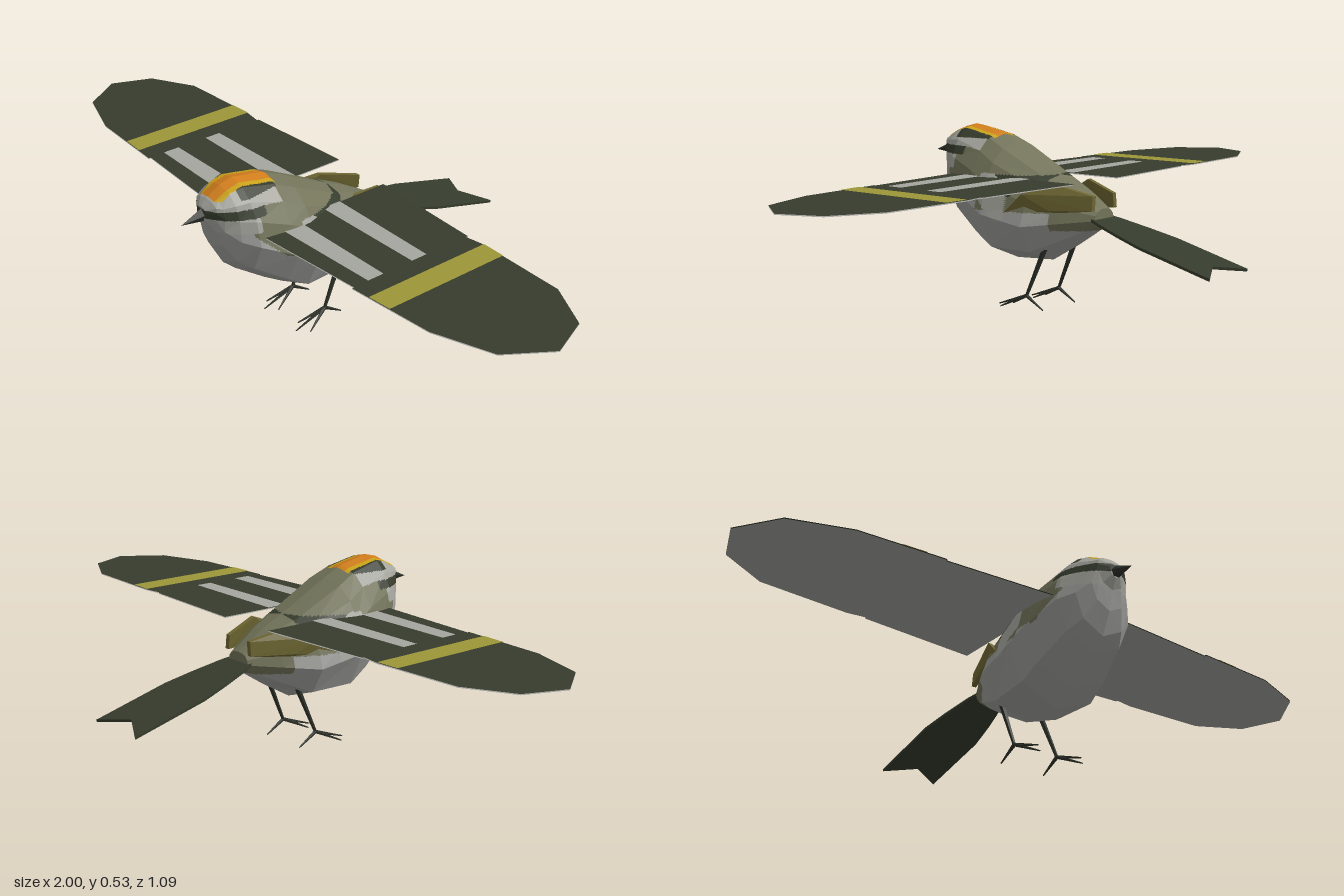
import * as THREE from 'three';
import { ConvexGeometry } from 'three/addons/geometries/ConvexGeometry.js';

const mat = (name, color) => {
  const m = new THREE.MeshStandardMaterial({ color, side: THREE.DoubleSide, flatShading: true });
  m.name = name;
  return m;
};
const V = (x, y, z) => new THREE.Vector3(x, y, z);

export function createModel() {
  const M = {
    dark: mat('dark green', 0x363c2d),
    olive: mat('olive back', 0x73745a),
    grey: mat('belly grey', 0x9f9f9c),
    pale: mat('pale grey', 0xa6a69f),
    yellow: mat('wing yellow', 0x9c9638),
    gold: mat('olive gold', 0x6e6632),
    crownYellow: mat('crown yellow', 0xcaa21a),
    orange: mat('crown orange', 0xd07d1c),
    black: mat('bill and legs', 0x2d3029),
  };
  const bird = new THREE.Group();
  bird.name = 'bird';
  const add = (name, geo, material, parent = bird) => {
    const mesh = new THREE.Mesh(geo, material);
    mesh.name = name;
    parent.add(mesh);
    return mesh;
  };

  // Plumage colour by position on the head
  const paintHead = (ax, y, z) => {
    if (z > 0.262 && y > 0.498) {
      if (ax < 0.03 && z < 0.455) return 'orange';
      if (ax < 0.046 && z < 0.455) return 'crownYellow';
      if (ax < 0.08 && z > 0.27 && z < 0.395) return 'dark';
    }
    if (z > 0.275 && y > 0.474 + Math.max(0, 0.335 - z) * -0.15) return 'pale';
    if (z > 0.335 && y > 0.45) return 'dark';
    if (z > 0.36 && y > 0.41) return 'pale';
    return z > 0.385 ? 'grey' : null;
  };
  // Plumage colour by position on the whole body, with folded-wing patches on the flank
  const paint = (x, y, z) => {
    const head = paintHead(Math.abs(x), y, z);
    if (head) return head;
    const patchTop = 0.405 - Math.max(0, 0.19 - z) * 1.15;
    const patchBottom = 0.27 + Math.max(0, z - 0.165) * 0.9;
    if (z > 0.135 && z < 0.237 && y > patchBottom && y < patchTop) return 'pale';
    const darkBottom = z > 0.135 ? patchTop : 0.34 + (0.135 - z) * 0.5;
    if (z > 0.04 && z < 0.19 && y > darkBottom && y < 0.402) return 'dark';
    const edge = z > 0.235 ? 0.325 + Math.max(0, z - 0.3) * 0.9 : z > 0 ? 0.3 : 0.25;
    return y > edge ? 'olive' : 'grey';
  };

  // Body and head: rings of [z, top, bottom, upper half width, lower half width]
  const sections = [
    [0.478, 0.48, 0.435, 0.02, 0.02],
    [0.46, 0.5, 0.405, 0.052, 0.045],
    [0.446, 0.508, 0.345, 0.066, 0.062],
    [0.415, 0.525, 0.28, 0.085, 0.095],
    [0.375, 0.535, 0.245, 0.098, 0.13],
    [0.275, 0.516, 0.175, 0.112, 0.163],
    [0.21, 0.487, 0.135, 0.13, 0.172],
    [0.07, 0.415, 0.143, 0.115, 0.155],
    [-0.03, 0.368, 0.2, 0.08, 0.1],
    [-0.12, 0.315, 0.258, 0.038, 0.045],
  ];
  const rings = sections.map(([z, top, bot, w1, w2]) => {
    const half = [[0, 1], [0.52 * w1, 0.96], [0.88 * w1, 0.85], [w1 * 0.55 + w2 * 0.45, 0.68],
      [w2, 0.43], [0.72 * w2, 0.14], [0, 0]];
    const ring = half.concat(half.slice(1, -1).reverse().map(([x, f]) => [-x, f]));
    return ring.map(([x, f]) => V(x, bot + f * (top - bot), z));
  });
  const buckets = {};
  const N = 14;
  // Split a facet into small flat cells so that plumage edges stay crisp
  const facet = (a, b, c) => {
    const at = (i, j) => a.clone().multiplyScalar(1 - (i + j) / N)
      .addScaledVector(b, i / N).addScaledVector(c, j / N);
    const put = (...p) => {
      const m = p[0].clone().add(p[1]).add(p[2]).divideScalar(3);
      const list = buckets[paint(m.x, m.y, m.z)] ??= [];
      p.forEach((q) => list.push(q.x, q.y, q.z));
    };
    for (let i = 0; i < N; i++) for (let j = 0; j < N - i; j++) {
      put(at(i, j), at(i + 1, j), at(i, j + 1));
      if (i + j < N - 1) put(at(i + 1, j), at(i + 1, j + 1), at(i, j + 1));
    }
  };
  const K = rings[0].length;
  const last = rings.length - 1;
  const centre = (ring) => ring.reduce((s, p) => s.add(p), V(0, 0, 0)).divideScalar(K);
  for (let j = 0; j < K; j++) {
    const k = (j + 1) % K;
    for (let i = 0; i < last; i++) {
      facet(rings[i][j], rings[i][k], rings[i + 1][j]);
      facet(rings[i][k], rings[i + 1][k], rings[i + 1][j]);
    }
    facet(centre(rings[0]), rings[0][k], rings[0][j]);
    facet(centre(rings[last]), rings[last][j], rings[last][k]);
  }
  const body = new THREE.Group();
  body.name = 'body';
  bird.add(body);
  for (const [key, list] of Object.entries(buckets)) {
    const geo = new THREE.BufferGeometry();
    geo.setAttribute('position', new THREE.Float32BufferAttribute(list, 3));
    geo.computeVertexNormals();
    add(M[key].name + ' plumage', geo, M[key], body);
  }

  // Bill
  add('bill', new ConvexGeometry([V(0, 0.48, 0.465), V(0.02, 0.46, 0.46), V(-0.02, 0.46, 0.46),
    V(0.012, 0.438, 0.465), V(-0.012, 0.438, 0.465), V(0, 0.444, 0.545)]), M.black);

  // Flat plate from [x, z] corners, facing up or down
  const plate = (pts, s, up) => {
    const geo = new THREE.ShapeGeometry(new THREE.Shape(
      pts.map(([x, z]) => new THREE.Vector2(s * x, up ? -z : z))));
    return geo.rotateX(up ? -Math.PI / 2 : Math.PI / 2);
  };
  const wingOutline = [[0.1, -0.09], [0.47, -0.07], [0.47, -0.063], [0.53, -0.072], [0.81, -0.06],
    [0.95, 0.015], [1, 0.14], [0.915, 0.265], [0.74, 0.325], [0.47, 0.342], [0.47, 0.335], [0.1, 0.36]];
  const bars = [
    ['yellow wing band', 'yellow', [[0.53, -0.072], [0.605, -0.069], [0.605, 0.333], [0.53, 0.338]]],
    ['rear wing bar', 'pale', [[0.1, 0.075], [0.47, 0.083], [0.47, 0.135], [0.1, 0.137]]],
    ['front wing bar', 'pale', [[0.1, 0.235], [0.47, 0.235], [0.47, 0.288], [0.1, 0.3]]],
  ];

  // Tapered straight limb
  const limb = (name, a, b, ra, rb, parent) => {
    const d = b.clone().sub(a);
    const mesh = add(name, new THREE.CylinderGeometry(rb, ra, d.length(), 5), M.black, parent);
    mesh.position.copy(a).add(b).multiplyScalar(0.5);
    mesh.quaternion.setFromUnitVectors(V(0, 1, 0), d.normalize());
  };

  for (const s of [1, -1]) {
    const side = s > 0 ? 'left' : 'right';

    // Spread wing
    const wing = new THREE.Group();
    wing.name = side + 'Wing';
    wing.position.y = 0.393;
    bird.add(wing);
    add('wing top', plate(wingOutline, s, true), M.dark, wing);
    add('wing underside', plate(wingOutline, s, false).translate(0, -0.003, 0), M.grey, wing);
    for (const [name, key, pts] of bars) {
      add(name, plate(pts, s, true).translate(0, 0.002, 0), M[key], wing);
    }

    // Gold feathers along the flank, tapering in to the rump
    const flank = [];
    for (const [x, y, z] of [[0.157, 0.288, 0.143], [0.142, 0.354, 0.076], [0.09, 0.384, 0],
      [0.112, 0.31, 0], [0.055, 0.355, -0.12], [0.06, 0.312, -0.12]]) {
      flank.push(V(s * x, y, z), V(s * (x - 0.015), y, z));
    }
    add(side + 'FlankFeathers', new ConvexGeometry(flank), M.gold);

    // Leg and toes
    const leg = new THREE.Group();
    leg.name = side + 'Leg';
    bird.add(leg);
    const ankle = V(s * 0.076, 0.04, 0.112);
    limb('shank', V(s * 0.07, 0.2, 0.04), ankle, 0.009, 0.005, leg);
    for (const [dx, z] of [[-0.03, 0.19], [0, 0.22], [0.03, 0.19], [0, 0.05]]) {
      limb('toe', ankle, V(ankle.x + dx, 0.003, z), 0.006, 0.002, leg);
    }
  }

  // Notched tail, hinged at the rump and sloping down
  const tailSide = [[0.04, 0], [0.06, 0.06], [0.08, 0.15], [0.095, 0.24], [0.095, 0.483]];
  const tailShape = new THREE.Shape([...tailSide, [0, 0.428],
    ...tailSide.slice().reverse().map(([x, z]) => [-x, z])].map(([x, z]) => new THREE.Vector2(x, z)));
  const tail = add('tail', new THREE.ExtrudeGeometry(tailShape, { depth: 0.008, bevelEnabled: false })
    .rotateX(-Math.PI / 2), M.dark);
  tail.position.set(0, 0.288, -0.08);
  tail.rotation.x = -0.255;

  return bird;
}
